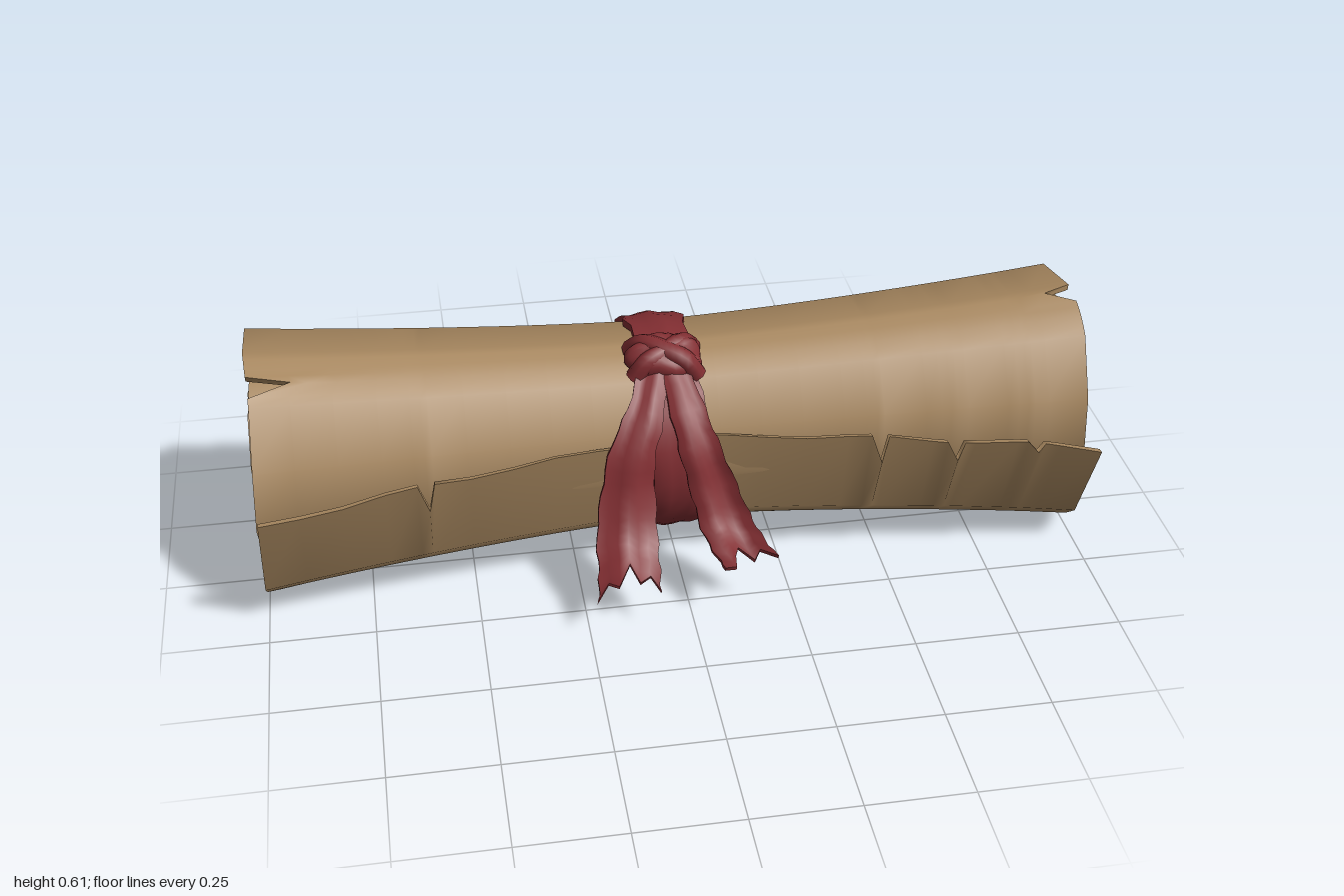
import * as THREE from 'three';

const paper = new THREE.MeshStandardMaterial({ color: 0xa88860 });
paper.name = 'parchment tan';
const cloth = new THREE.MeshStandardMaterial({ color: 0x822e32 });
cloth.name = 'ribbon red';

// Thin solid sheet: f(i, j, s) gives a point, s = +0.5 on the side facing di x dj, -0.5 behind.
function slab(nu, nv, f) {
  const pos = [], idx = [];
  const put = (i, j, s) => pos.push(...f(i, j, s).toArray()) / 3 - 1;
  for (const s of [0.5, -0.5]) {
    const g = [];
    for (let i = 0; i <= nu; i++) {
      g.push([]);
      for (let j = 0; j <= nv; j++) g[i].push(put(i, j, s));
    }
    for (let i = 0; i < nu; i++) for (let j = 0; j < nv; j++) {
      const a = g[i][j], b = g[i + 1][j], c = g[i + 1][j + 1], d = g[i][j + 1];
      if (s > 0) idx.push(a, b, c, a, c, d);
      else idx.push(a, c, b, a, d, c);
    }
  }
  // rims, walked counter-clockwise
  const rim = (n, at) => {
    for (let k = 0; k <= n; k++) {
      const [i, j] = at(k);
      const lo = put(i, j, -0.5), hi = put(i, j, 0.5);
      if (k) idx.push(lo - 2, lo, hi, lo - 2, hi, hi - 2);
    }
  };
  rim(nu, k => [k, 0]);
  rim(nv, k => [nu, k]);
  rim(nu, k => [nu - k, nv]);
  rim(nv, k => [0, nv - k]);
  const geo = new THREE.BufferGeometry();
  geo.setAttribute('position', new THREE.Float32BufferAttribute(pos, 3));
  geo.setIndex(idx);
  geo.computeVertexNormals();
  return geo;
}

function add(parent, name, geo, mat) {
  const m = new THREE.Mesh(geo, mat);
  m.name = name;
  parent.add(m);
  return m;
}

const CY = 0.303, CZ = -0.1;
// Point around the roll axis; q counts quarter turns from the bottom towards the front.
const polar = (x, q, r) => {
  const a = q * Math.PI / 2;
  return new THREE.Vector3(x, CY - r * Math.cos(a), CZ + r * Math.sin(a));
};

// Spiral radius at each quarter turn, starting at q = -1
const RADII = [0.085, 0.1, 0.12, 0.115, 0.115, 0.16, 0.17, 0.18, 0.19, 0.197,
  0.21, 0.24, 0.23, 0.25, 0.276, 0.3, 0.287, 0.297, 0.297, 0.297];
function spiralRadius(q, x) {
  const k = Math.floor(q + 1), t = q + 1 - k, ax = Math.min(1, Math.abs(x));
  let r = RADII[k] * (1 - t) + RADII[k + 1] * t;
  r += 0.065 * Math.max(0, q - 16) * ax ** 1.2;         // loose outer flap
  const waist = 0.06 + 0.14 * THREE.MathUtils.clamp(q / 12, 0, 1);
  return r * (1 - waist * (1 - ax ** 1.5));
}

function sheet() {
  // tears in the rolled ends: [quarter turn, side, depth]
  const tears = [[13.72, -1, 0.1], [15.72, -1, 0.05], [13.88, 1, 0.07],
    [15.3, 1, 0.05], [15.8, 1, 0.07], [11.4, 1, 0.03], [16.4, -1, 0.025]];
  // nicks in the flap edge: [x, depth in quarter turns]
  const nicks = [[-0.6, 0.15], [0.48, 0.16], [0.66, 0.1], [0.85, 0.05]];
  const END = 17.07, cols = [];
  for (let q = -0.4; q < END - 0.2; q += 1 / 3) {
    if (!tears.some(t => Math.abs(t[0] - q) < 0.1)) cols.push({ q });
  }
  for (const [q, side, depth] of tears) {
    cols.push({ q: q - 0.07 }, { q, side, depth }, { q: q + 0.05 });
  }
  cols.push({ q: END });
  cols.sort((a, b) => a.q - b.q);
  const rows = [];
  for (let i = -10; i <= 10; i++) {
    if (!nicks.some(n => Math.abs(n[0] - i / 10) < 0.03)) rows.push(i / 10);
  }
  for (const [x] of nicks) rows.push(x - 0.025, x, x + 0.015);
  rows.sort((a, b) => a - b);

  return slab(cols.length - 1, rows.length - 1, (i, j, s) => {
    const c = cols[i], u = rows[j];
    let q = c.q;
    if (i === cols.length - 1) {
      const nick = nicks.find(n => n[0] === u);
      q += 0.17 * (1 - Math.abs(u)) + 0.012 * Math.sin(u * 17) - (nick ? nick[1] : 0);
    }
    const ragged = 0.006 + 0.006 * Math.sin(c.q * 5.3 + u);
    const pull = ragged + (c.side === Math.sign(u) ? c.depth : 0);
    const x = u - Math.sign(u) * pull * u ** 8;
    const thick = 0.012 + 0.005 * Math.max(0, c.q) / 17;
    return polar(x, q, spiralRadius(q, u) - s * thick);
  });
}

// Ribbon wrapped around the waist, slightly crumpled
function band() {
  const n = 36, m = 6;
  return slab(n, m, (i, j, s) => {
    const q = 1.72 + 4 * i / n, v = j / m * 2 - 1;
    const edge = 0.006 * Math.sin(i * 2.1) + 0.004 * Math.sin(i * 3.7 + j);
    const x = -0.015 + 0.012 * Math.sin(q * 1.6) + v * (0.067 + edge);
    const r = 0.249 + 0.007 * (1 - v * v) + 0.003 * Math.sin(j * 2 + i * 0.4);
    return polar(x, q, r - s * 0.018);
  });
}

// Hanging ribbon end with a torn tip
function tail(points, w0, w1, cuts, phase) {
  const curve = new THREE.CatmullRomCurve3(points.map(p => new THREE.Vector3(...p)));
  const n = 20, m = cuts.length - 1;
  return slab(n, m, (i, j, s) => {
    const k = i / n, t = k * (1 - cuts[j] * k ** 3);
    const p = curve.getPoint(t), d = curve.getTangent(t);
    const out = new THREE.Vector3(0, d.z, -d.y).normalize();
    const side = new THREE.Vector3().crossVectors(out, d).normalize();
    const v = j / m - 0.5;
    const w = w0 + (w1 - w0) * Math.min(1, t * 1.6) + 0.006 * Math.sin(i * 1.9 + phase);
    const fold = 0.012 * Math.sin(v * 7 + phase + t * 2) * (0.4 + t);
    return p.addScaledVector(side, v * w).addScaledVector(out, fold + s * 0.012);
  });
}

// Bunched knot: creased core with two crossing wraps
function knot() {
  const g = new THREE.Group();
  g.name = 'knot';
  const core = new THREE.SphereGeometry(1, 28, 18);
  const p = core.attributes.position, v = new THREE.Vector3();
  for (let i = 0; i < p.count; i++) {
    v.fromBufferAttribute(p, i);
    const f = 1 + 0.07 * Math.sin(v.x * 5 + v.z * 6) + 0.04 * Math.sin(v.z * 9 - v.x * 4);
    p.setXYZ(i, v.x * f * 0.092, v.y * f * 0.05, v.z * f * 0.06);
  }
  core.computeVertexNormals();
  add(g, 'knotCore', core, cloth);
  for (const [x0, z0, lift] of [[0.075, 0.045, 0.034], [-0.075, 0.04, 0.03]]) {
    const arc = new THREE.CatmullRomCurve3([
      new THREE.Vector3(-x0, -0.02, -z0), new THREE.Vector3(-x0 * 0.6, lift * 0.7, -z0 * 0.6),
      new THREE.Vector3(0, lift, 0.006), new THREE.Vector3(x0 * 0.6, lift * 0.7, z0 * 0.7),
      new THREE.Vector3(x0, -0.02, z0)]);
    add(g, 'knotWrap', new THREE.TubeGeometry(arc, 16, 0.024, 8), cloth);
  }
  g.position.set(-0.02, 0.543, 0.005);
  g.rotation.x = 0.35;
  return g;
}

export function createModel() {
  const model = new THREE.Group();
  model.name = 'tiedScroll';
  add(model, 'rolledSheet', sheet(), paper);
  const ribbon = new THREE.Group();
  ribbon.name = 'ribbon';
  model.add(ribbon);
  add(ribbon, 'ribbonBand', band(), cloth);
  ribbon.add(knot());
  add(ribbon, 'rightTail', tail([[-0.05, 0.53, 0.045], [-0.085, 0.455, 0.125], [-0.12, 0.38, 0.168],
    [-0.135, 0.28, 0.195], [-0.145, 0.19, 0.245], [-0.15, 0.145, 0.31], [-0.16, 0.115, 0.375]],
  0.07, 0.145, [0, 0.1, 0.06, 0.2, 0.11, 0.16, 0.07], 0.4), cloth);
  add(ribbon, 'leftTail', tail([[0, 0.53, 0.05], [0.02, 0.455, 0.135], [0.04, 0.38, 0.178],
    [0.07, 0.28, 0.2], [0.095, 0.2, 0.235], [0.12, 0.16, 0.29], [0.145, 0.14, 0.345]],
  0.07, 0.12, [0.1, 0.06, 0.15, 0.2, 0.09, 0.12, 0], 2.2), cloth);
  return model;
}
